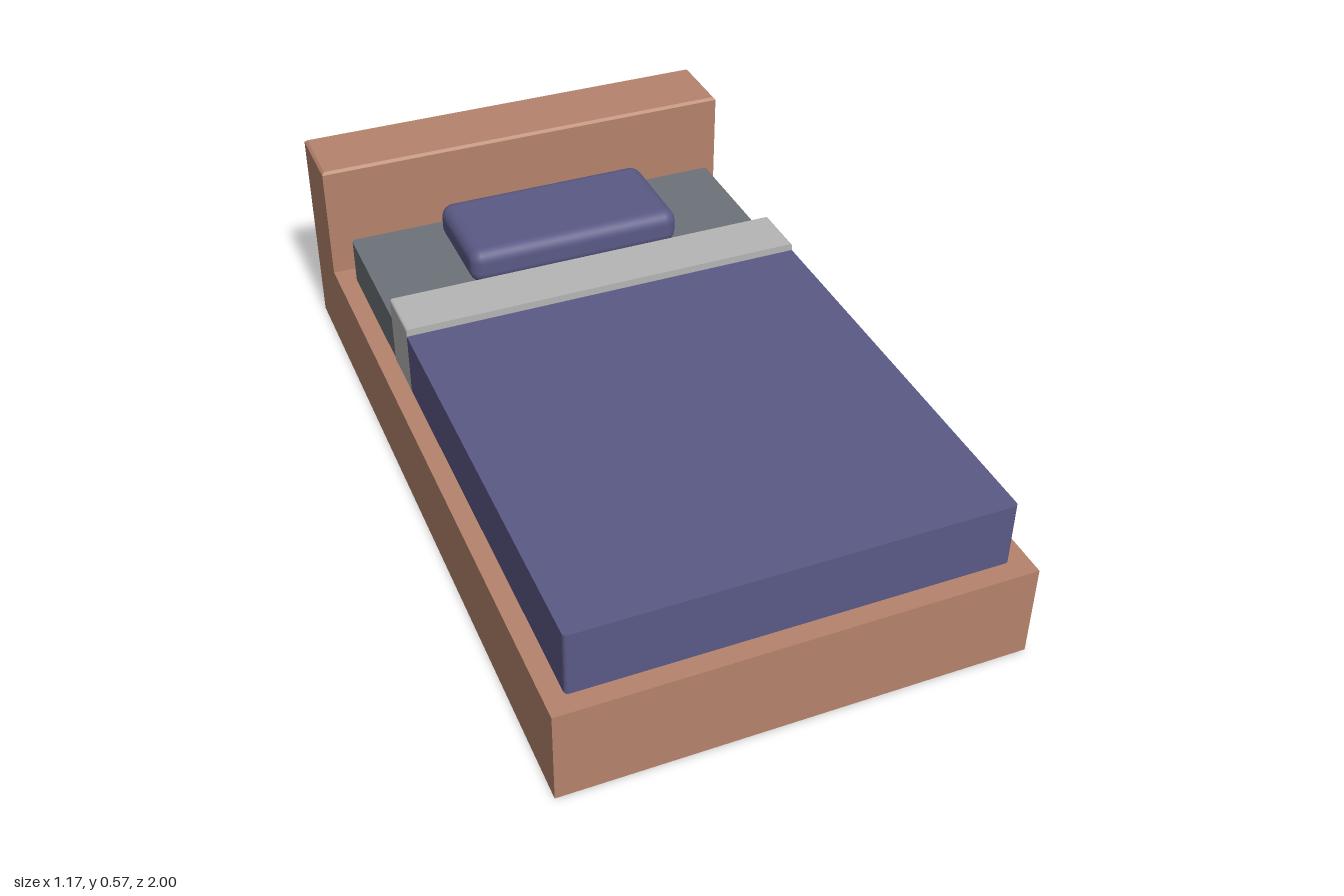
import * as THREE from 'three';
import { RoundedBoxGeometry } from 'three/addons/geometries/RoundedBoxGeometry.js';

const paint = (name, color) => {
  const m = new THREE.MeshStandardMaterial({ color });
  m.name = name;
  return m;
};

// rectangle whose corners can be rounded at the low end, the high end or both
function roundedRect(x0, x1, y0, y1, rLow, rHigh) {
  const s = new THREE.Shape();
  s.moveTo(x0 + rLow, y0);
  s.lineTo(x1 - rLow, y0);
  if (rLow) s.quadraticCurveTo(x1, y0, x1, y0 + rLow);
  s.lineTo(x1, y1 - rHigh);
  if (rHigh) s.quadraticCurveTo(x1, y1, x1 - rHigh, y1);
  s.lineTo(x0 + rHigh, y1);
  if (rHigh) s.quadraticCurveTo(x0, y1, x0, y1 - rHigh);
  s.lineTo(x0, y0 + rLow);
  if (rLow) s.quadraticCurveTo(x0, y0, x0 + rLow, y0);
  return s;
}

const extrude = (shape, depth) =>
  new THREE.ExtrudeGeometry(shape, { depth, bevelEnabled: false, curveSegments: 4 });

// plan outline raised from y0 to y1; the low end of the outline faces the front
function slab(halfWidth, zBack, zFront, y0, y1, rFront, rBack) {
  const g = extrude(roundedRect(-halfWidth, halfWidth, -zFront, -zBack, rFront, rBack), y1 - y0);
  g.rotateX(-Math.PI / 2);
  g.translate(0, y0, 0);
  return g;
}

// box with chamfered top edges
function chamferedBox(w, h, d, c) {
  const box = new THREE.BoxGeometry(w, h, d, 1, 2, 1);
  const p = box.attributes.position;
  for (let i = 0; i < p.count; i++) {
    const y = p.getY(i);
    if (y > h / 4) {
      p.setX(i, p.getX(i) - Math.sign(p.getX(i)) * c);
      p.setZ(i, p.getZ(i) - Math.sign(p.getZ(i)) * c);
    } else if (y > -h / 4) p.setY(i, h / 2 - c);
  }
  const g = box.toNonIndexed();
  g.computeVertexNormals();
  return g;
}

export function createModel() {
  const wood = paint('wood', 0xb5836c);
  const blue = paint('blue fabric', 0x5a5985);
  const grey = paint('grey sheet', 0x6c7278);
  const pale = paint('pale fold', 0xb5b5b5);

  const bed = new THREE.Group();
  bed.name = 'bed';
  const add = (name, geometry, material, x = 0, y = 0, z = 0) => {
    const mesh = new THREE.Mesh(geometry, material);
    mesh.name = name;
    mesh.position.set(x, y, z);
    bed.add(mesh);
  };

  // wooden frame
  add('base', new THREE.BoxGeometry(1.17, 0.25, 2), wood, 0, 0.125, 0);
  add('headboard', chamferedBox(1.17, 0.32, 0.205, 0.007), wood, 0, 0.41, -0.8975);

  // bedding
  add('mattress', slab(0.535, -0.745, -0.3, 0.25, 0.375, 0, 0.012), grey);
  add('blanket', slab(0.537, -0.18, 0.95, 0.25, 0.42, 0.012, 0), blue);
  add('blanketFold', extrude(roundedRect(-0.537, 0.537, 0.25, 0.44, 0, 0.008), 0.15), pale, 0, 0, -0.33);

  // pillow
  add('pillow', new RoundedBoxGeometry(0.59, 0.1, 0.3, 4, 0.035), blue, 0, 0.425, -0.54);
  return bed;
}
